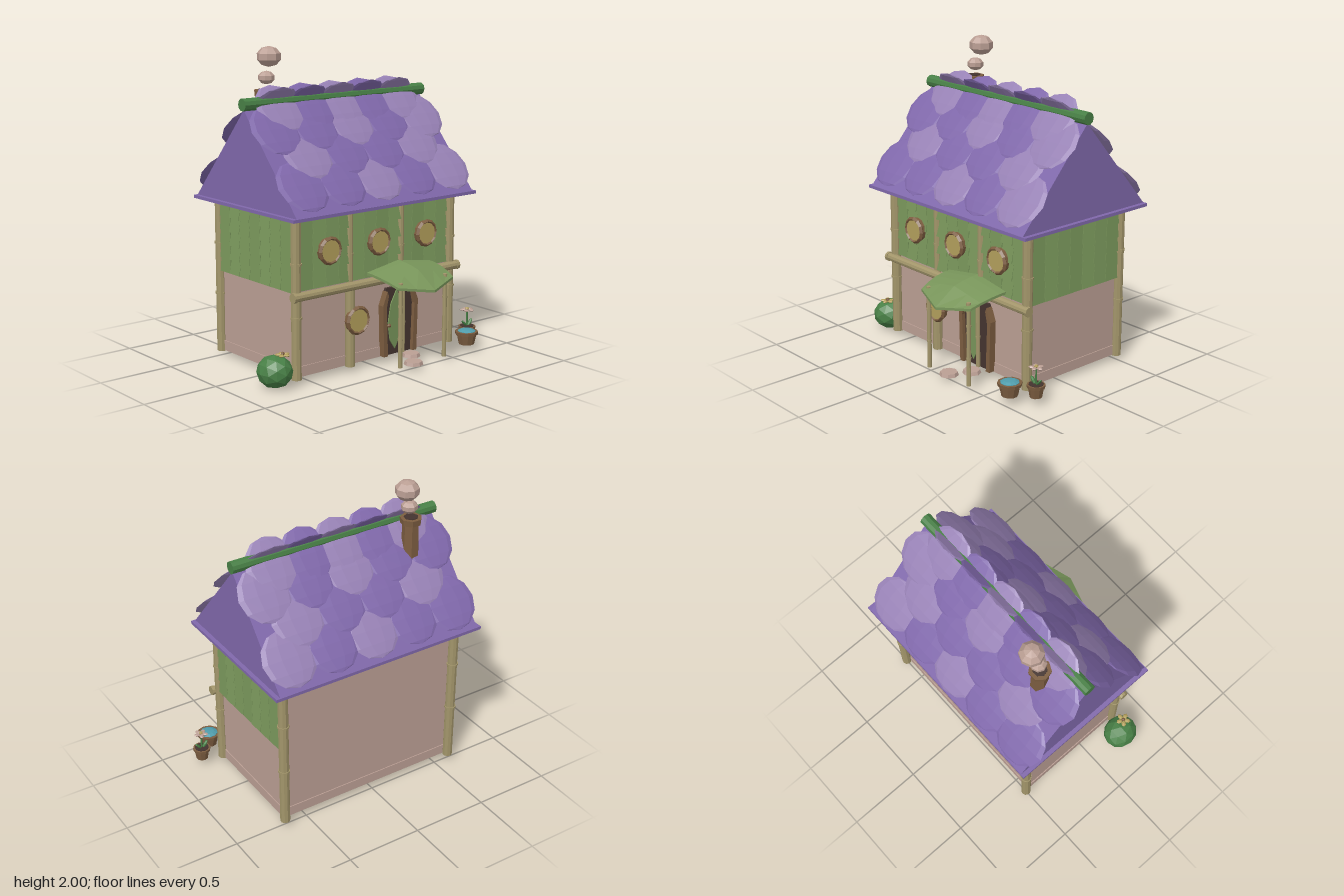
import * as THREE from 'three';

const mat = (name, color) => {
  const m = new THREE.MeshStandardMaterial({ color, flatShading: true });
  m.name = name;
  return m;
};

export function createModel() {
  const pink = mat('pink plaster', 0xbb9f94), moss = mat('moss green', 0x78955a);
  const purple = mat('purple', 0x8068ab), lilac = mat('lilac', 0x9882b6);
  const bamboo = mat('bamboo tan', 0xa2956a), wood = mat('wood brown', 0x7c5d40);
  const yellow = mat('amber', 0xb39f5c), leaf = mat('leaf green', 0x488046);
  const teal = mat('teal', 0x4f9cab), dark = mat('dark wood', 0x44342f);

  const root = new THREE.Group();
  root.name = 'cottage';
  const CX = 0.025, CZ = -0.105; // centre of the house

  function add(name, geo, m, x = 0, y = 0, z = 0, parent = root) {
    const mesh = new THREE.Mesh(geo, m);
    mesh.name = name;
    mesh.position.set(x, y, z);
    parent.add(mesh);
    return mesh;
  }
  const box = (w, h, d) => new THREE.BoxGeometry(w, h, d);
  const cyl = (r1, r2, h, n = 10) => new THREE.CylinderGeometry(r1, r2, h, n);
  const blob = (rx, ry, rz, n = 8, k = 5) => new THREE.SphereGeometry(1, n, k).scale(rx, ry, rz);

  // Walls and base trim
  add('walls', box(1.25, 0.99, 0.75), pink, CX, 0.54, CZ);
  add('baseTrim', box(1.262, 0.065, 0.762), pink, CX, 0.073, CZ);

  // Bamboo pole with knots
  function pole(name, x, z, y0, y1, r, knots) {
    add(name, cyl(r, r, y1 - y0), bamboo, x, (y0 + y1) / 2, z);
    for (const y of knots) add(name + 'Knot', cyl(r * 1.17, r * 1.17, 0.012), bamboo, x, y, z);
  }
  for (const x of [-0.605, 0.655])
    for (const z of [0.287, -0.502]) pole('cornerPost', x, z, 0.035, 1.03, 0.032, [0.42, 0.75]);
  pole('frontPost', -0.185, 0.287, 0.035, 0.55, 0.032, [0.3]);
  pole('upperStud', -0.185, 0.28, 0.55, 1.02, 0.023, [0.75]);
  pole('upperStud', 0.235, 0.28, 0.55, 1.02, 0.023, [0.75]);
  pole('doorPost', 0.235, 0.31, 0.05, 0.6, 0.014, [0.25]);
  for (const x of [0.02, 0.395]) pole('awningPost', x, 0.525, 0.04, 0.58, 0.014, [0.22, 0.43]);
  add('frontBeam', cyl(0.027, 0.027, 1.36).rotateZ(Math.PI / 2), bamboo, CX, 0.555, 0.317);
  for (const x of [-0.645, 0.695]) add('beamEnd', cyl(0.031, 0.031, 0.02).rotateZ(Math.PI / 2), bamboo, x, 0.555, 0.317);

  // Moss panels: overlapping squares, lower edge leaning out
  function panels(name, width, cols, rows, y0, y1) {
    const g = new THREE.Group();
    g.name = name;
    const w = width / cols, h = (y1 - y0) / rows;
    for (let r = 0; r < rows; r++)
      for (let c = 0; c < cols; c++) {
        const p = add('panel', box(w - 0.003, h, 0.02), moss, -width / 2 + w * (c + 0.5), y0 + h * (r + 0.5), 0, g);
        p.rotation.x = -0.09 - 0.05 * ((r * 3 + c * 2) % 3);
      }
    root.add(g);
    return g;
  }
  panels('frontPanels', 1.21, 12, 4, 0.58, 1.03).position.set(CX, 0, 0.28);
  for (const s of [-1, 1]) {
    const g = panels('sidePanels', 0.74, 7, 5, 0.57, 1.02);
    g.position.set(CX + s * 0.636, 0, CZ);
    g.rotation.y = s * Math.PI / 2;
  }

  // Round windows
  function roundWindow(x, y, z, r) {
    const g = new THREE.Group();
    g.name = 'window';
    g.position.set(x, y, z);
    root.add(g);
    add('windowFrame', new THREE.TorusGeometry(r - 0.012, 0.014, 4, 12), wood, 0, 0, 0.018, g);
    add('windowBack', cyl(r - 0.01, r - 0.01, 0.03, 12).rotateX(Math.PI / 2), wood, 0, 0, 0, g);
    add('windowPane', cyl(r - 0.016, r - 0.016, 0.008, 12).rotateX(Math.PI / 2), yellow, 0, 0, 0.02, g);
  }
  for (const x of [-0.37, 0.025, 0.42]) roundWindow(x, 0.805, 0.305, 0.088);
  roundWindow(-0.155, 0.333, 0.312, 0.092);

  // Door: dark opening, slanted jambs, leaf ornament, knob
  const outline = (pts) => new THREE.Shape(pts.map(p => new THREE.Vector2(...p)));
  const slab = (pts, depth) => new THREE.ExtrudeGeometry(outline(pts), { depth, bevelEnabled: false });
  add('doorway', slab([[-0.115, 0.045], [0.115, 0.045], [0.125, 0.42], [0.1, 0.485], [-0.1, 0.485], [-0.125, 0.42]], 0.02),
    dark, 0.21, 0, 0.272);
  for (const s of [-1, 1]) {
    const jamb = [[0.105, 0.045], [0.138, 0.045], [0.148, 0.38], [0.112, 0.47], [0.1, 0.44], [0.118, 0.36]].map(([x, y]) => [s * x, y]);
    add('doorJamb', slab(jamb, 0.045), wood, 0.21, 0, 0.272);
  }
  add('doorLeaf', slab([[0, 0.08], [0.045, 0.16], [0.058, 0.28], [0.04, 0.4], [0.015, 0.47], [-0.035, 0.38], [-0.058, 0.25], [-0.04, 0.14]], 0.008),
    moss, 0.178, 0, 0.292);
  add('doorKnob', blob(0.014, 0.014, 0.014, 6, 4), wood, 0.127, 0.24, 0.3);

  // Leaf awning: a slab bent down into a pointed tip
  const awning = new THREE.BoxGeometry(2, 1, 1, 4, 1, 4);
  const ap = awning.attributes.position;
  for (let i = 0; i < ap.count; i++) {
    const u = ap.getX(i), t = ap.getZ(i) + 0.5, a = Math.abs(u);
    const tip = Math.max(0, t - 0.75) * 4 * (1 - a);
    ap.setXYZ(i, u * (0.265 - 0.035 * t * t),
      0.655 - 0.04 * a - 0.055 * t * t - 0.075 * tip + 0.008 * ap.getY(i) * 2 - 0.008, 0.27 + 0.28 * t + 0.08 * tip);
  }
  awning.computeVertexNormals();
  add('awning', awning, moss, 0.21, 0, 0);

  // Roof body and ridge pole
  const gable = slab([[-0.52, 1.035], [0.52, 1.035], [0.52, 1.047], [0, 1.64], [-0.52, 1.047]], 1.43);
  add('roof', gable.rotateY(Math.PI / 2), purple, CX - 0.715, 0, CZ);
  add('eaves', box(1.485, 0.02, 1.04), purple, CX, 1.043, CZ);
  add('ridgePole', cyl(0.039, 0.039, 1.455, 10).rotateZ(Math.PI / 2), leaf, CX, 1.672, CZ);

  // Petal shingles, staggered rows on both slopes: [centre height, count, spacing]
  const shingle = blob(0.18, 0.18, 0.016, 10, 6);
  const rows = [[1.215, 5, 0.29], [1.375, 4, 0.29], [1.52, 5, 0.29], [1.635, 5, 0.235]];
  for (const s of [-1, 1])
    for (const [y, n, gap] of rows)
      for (let i = 0; i < n; i++) {
        const x = (i - (n - 1) / 2) * gap + CX;
        const light = Math.cos((x + 0.45) * 4 * Math.PI) > 0.3;
        const z = 0.39 - (y - 1.1) * 0.836 - CZ;
        const t = add('shingle', shingle, light ? lilac : purple, x, y, CZ + s * z);
        t.rotation.order = 'YXZ';
        t.rotation.set(-0.73, s > 0 ? 0 : Math.PI, 0);
      }

  // Chimney and smoke
  add('chimney', cyl(0.052, 0.062, 0.4, 7), wood, -0.43, 1.5, -0.245);
  add('chimneyCap', cyl(0.07, 0.066, 0.04, 7), wood, -0.43, 1.713, -0.245);
  add('chimneyHole', cyl(0.045, 0.045, 0.006, 7), dark, -0.43, 1.734, -0.245);
  add('smokePuff', blob(0.055, 0.042, 0.053), pink, -0.415, 1.808, -0.245);
  add('smokePuff', blob(0.079, 0.065, 0.079), pink, -0.38, 1.935, -0.265);

  // Flower: petals around a centre
  function flower(x, y, z, r, petal, centre) {
    for (let i = 0; i < 5; i++) {
      const a = i * Math.PI * 0.4;
      add('petal', blob(r * 0.5, 0.008, r * 0.36, 6, 4).rotateY(-a), petal, x + Math.cos(a) * r * 0.6, y, z + Math.sin(a) * r * 0.6);
    }
    add('flowerCentre', blob(r * 0.3, 0.013, r * 0.3, 6, 4), centre, x, y + 0.006, z);
  }

  // Round bush with a bloom
  add('bush', new THREE.IcosahedronGeometry(0.108, 1).scale(1, 0.95, 1.1), leaf, -0.738, 0.105, 0.245);
  flower(-0.71, 0.214, 0.29, 0.045, yellow, wood);

  // Pots
  function pot(x, z, y0, h, r, rim) {
    add('pot', cyl(r * 0.9, r * 0.66, h, 10), wood, x, y0 + h / 2, z);
    add('potRim', cyl(r, r * 0.96, h * 0.25, 10), rim, x, y0 + h * 0.88, z);
  }
  pot(0.675, 0.445, 0.05, 0.085, 0.077, wood);
  add('potWater', blob(0.062, 0.02, 0.062, 10, 5), teal, 0.675, 0.132, 0.445);
  pot(0.787, 0.335, 0.045, 0.08, 0.058, wood);
  add('potSoil', cyl(0.046, 0.046, 0.006, 10), dark, 0.787, 0.126, 0.335);
  add('stem', cyl(0.006, 0.006, 0.12, 6), leaf, 0.787, 0.175, 0.335);
  for (const s of [-1, 1])
    add('stemLeaf', blob(0.009, 0.03, 0.014, 6, 4), leaf, 0.787 + s * 0.025, 0.145, 0.335).rotation.z = -s * 0.7;
  flower(0.787, 0.235, 0.335, 0.045, pink, yellow);

  // Stepping stones
  add('steppingStone', cyl(0.055, 0.062, 0.022, 8), pink, 0.165, 0.036, 0.49);
  add('steppingStone', cyl(0.052, 0.06, 0.022, 8), pink, 0.25, 0.045, 0.375);

  return root;
}
